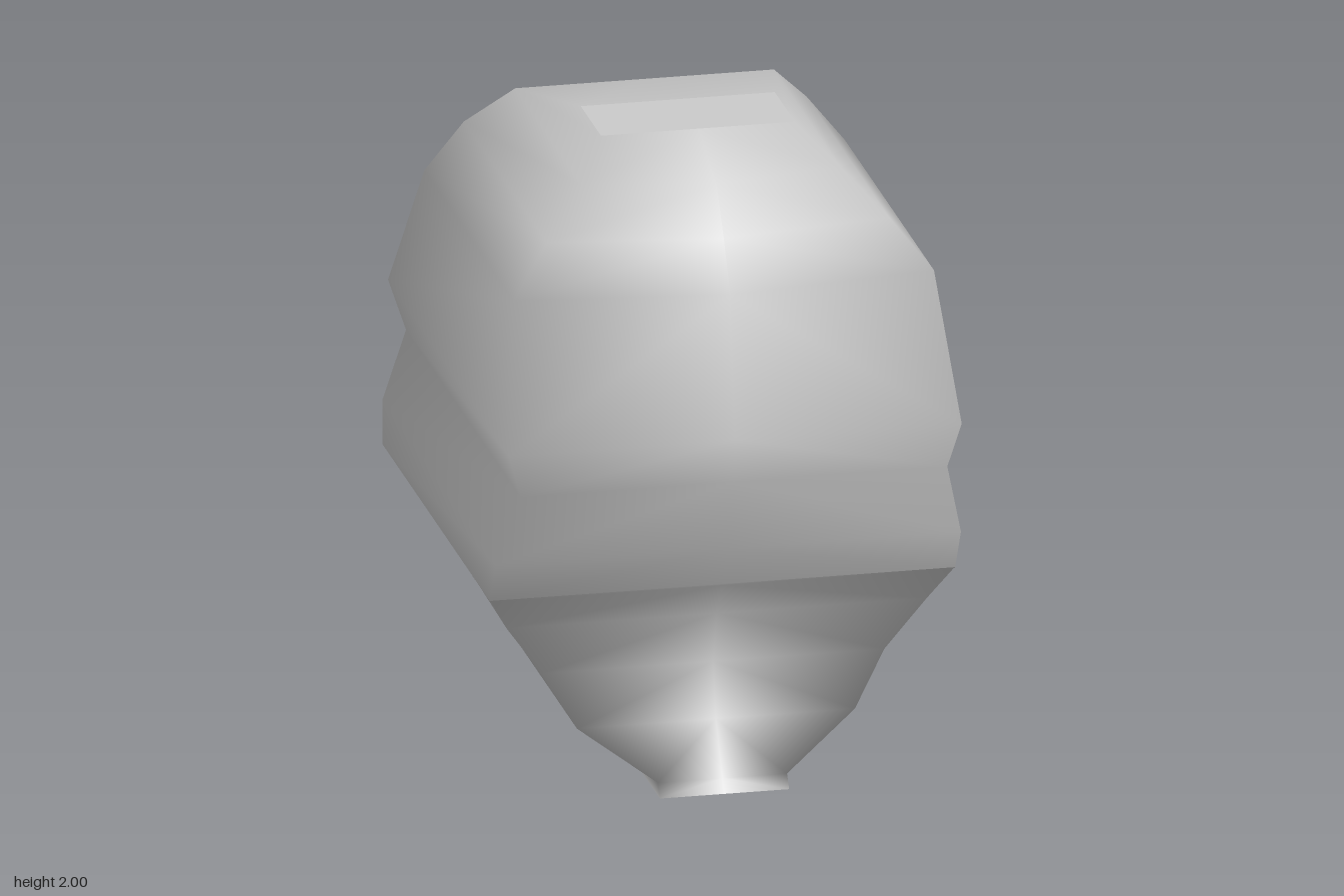
import * as THREE from 'three';

// Rings from top to bottom:
// [y, half width, front seam z, front corner z, back corner z, back seam z, back seam y, back half width]
// The last two are given only where they differ from y and half width.
const upperRings = [
  [2.0, 0.3, 0.4, 0.4, 0.12, 0.12],
  [1.91, 0.4, 0.66, 0.58, -0.34, -0.34],
  [1.77, 0.53, 0.76, 0.68, -0.47, -0.58, 1.75],
  [1.62, 0.65, 0.85, 0.76, -0.48, -0.56],
  [1.18, 0.7, 0.92, 0.92, -0.76, -0.76],
  [1.04, 0.66, 0.9, 0.9, -0.69, -0.69],
  [0.8, 0.72, 0.82, 0.82, -0.75, -0.88],
  [0.66, 0.72, 0.74, 0.74, -0.75, -0.92, 0.69],
];
const lowerRings = [
  [0.66, 0.72, 0.74, 0.74, -0.75, -0.92, 0.69],
  [0.655, 0.715, 0.737, 0.737, -0.75, -0.75],
  [0.54, 0.65, 0.66, 0.66, -0.81, -0.81, 0.54, 0.58],
  [0.37, 0.53, 0.61, 0.61, -0.74, -0.74],
  [0.2, 0.43, 0.65, 0.65, -0.79, -0.79],
  [0.04, 0.2, 0.74, 0.74, -0.69, -0.69],
  [0, 0.2, 0.77, 0.77, -0.53, -0.53],
];

const material = new THREE.MeshStandardMaterial({ color: 0xcccccc });

// Smooth half shell through the rings; side is +1 (left) or -1 (right)
function halfShell(rings, side, name) {
  const positions = [], index = [];
  for (const [y, w, frontSeam, frontCorner, backCorner, backSeam, seamY = y, backW = w] of rings) {
    positions.push(
      0, y, frontSeam,
      side * w, y, frontCorner,
      side * backW, y, backCorner,
      0, seamY, backSeam,
    );
  }
  for (let i = 0; i < rings.length - 1; i++) {
    for (let j = 0; j < 3; j++) {
      const a = i * 4 + j, b = a + 1, c = a + 4, d = a + 5;
      if (side > 0) index.push(a, c, d, a, d, b);
      else index.push(a, d, c, a, b, d);
    }
  }
  const geometry = new THREE.BufferGeometry();
  geometry.setAttribute('position', new THREE.Float32BufferAttribute(positions, 3));
  geometry.setIndex(index);
  geometry.computeVertexNormals();
  const mesh = new THREE.Mesh(geometry, material);
  mesh.name = name;
  return mesh;
}

// Flat rectangle closing an end ring; facing is +1 (up) or -1 (down)
function cap([y, w, front, , back], facing, name) {
  const geometry = new THREE.PlaneGeometry(2 * w, front - back);
  geometry.rotateX(-facing * Math.PI / 2);
  geometry.translate(0, y, (front + back) / 2);
  const mesh = new THREE.Mesh(geometry, material);
  mesh.name = name;
  return mesh;
}

export function createModel() {
  const group = new THREE.Group();
  group.name = 'head';

  // Halves meet in a sharp seam; skull and jaw meet in a crease under the nose
  for (const [side, label] of [[1, 'left'], [-1, 'right']]) {
    group.add(halfShell(upperRings, side, `${label}Skull`));
    group.add(halfShell(lowerRings, side, `${label}Jaw`));
  }

  group.add(cap(upperRings[0], 1, 'crown'));
  group.add(cap(lowerRings[lowerRings.length - 1], -1, 'neckBase'));
  return group;
}
